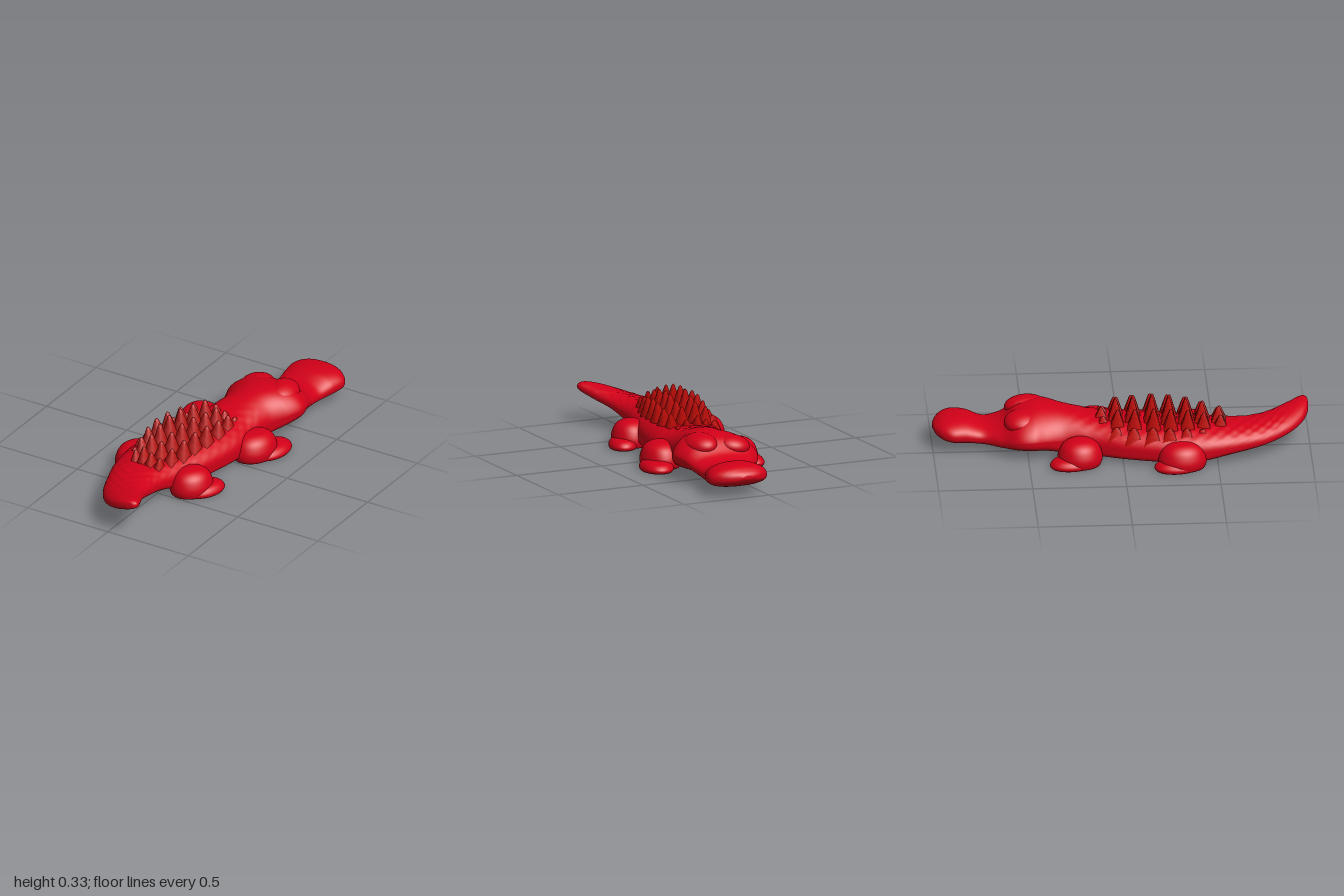
import * as THREE from 'three';

const skin = new THREE.MeshStandardMaterial({ color: 0xd20018 });
const spikeSkin = new THREE.MeshStandardMaterial({ color: 0xbe0a06 });

// Body sections from snout to tail: z, xMin, xMax, yBottom, yTop, sideways tilt
const sections = [
  [-0.998, 0.09, 0.15, 0.1, 0.12, 0],
  [-0.98, 0.035, 0.215, 0.078, 0.14, 0],
  [-0.945, -0.01, 0.27, 0.058, 0.16, 0],
  [-0.895, -0.034, 0.302, 0.045, 0.168, 0],
  [-0.82, -0.028, 0.288, 0.04, 0.165, 0],
  [-0.73, -0.03, 0.257, 0.036, 0.138, 0],
  [-0.64, -0.09, 0.262, 0.04, 0.158, 0.03],
  [-0.56, -0.15, 0.285, 0.042, 0.222, 0.05],
  [-0.48, -0.165, 0.305, 0.038, 0.246, 0.05],
  [-0.4, -0.14, 0.28, 0.028, 0.246, 0.05],
  [-0.3, -0.12, 0.215, 0.012, 0.232, 0.03],
  [-0.16, -0.15, 0.2, 0.006, 0.205, 0],
  [0, -0.21, 0.205, 0.006, 0.195, 0],
  [0.2, -0.26, 0.17, 0.006, 0.193, 0],
  [0.4, -0.275, 0.115, 0.012, 0.188, 0],
  [0.55, -0.25, 0.075, 0.036, 0.182, 0.03],
  [0.67, -0.21, 0.068, 0.055, 0.176, 0.07],
  [0.78, -0.165, 0.085, 0.082, 0.18, 0.14],
  [0.89, -0.095, 0.135, 0.115, 0.2, 0.2],
  [0.96, -0.02, 0.167, 0.145, 0.215, 0.24],
  [0.99, 0.045, 0.155, 0.165, 0.212, 0.22],
  [0.997, 0.095, 0.115, 0.185, 0.198, 0],
];

function bodyGeometry() {
  const rings = 240, sides = 64;
  const plan = new THREE.CatmullRomCurve3(
    sections.map(s => new THREE.Vector3((s[1] + s[2]) / 2, (s[2] - s[1]) / 2, s[0])), false, 'catmullrom');
  const side = new THREE.CatmullRomCurve3(
    sections.map(s => new THREE.Vector3(s[3], s[4], s[5])), false, 'catmullrom');
  const pos = [], idx = [];
  const soft = (v, p) => Math.sign(v) * Math.pow(Math.abs(v), p);
  const smooth = THREE.MathUtils.smoothstep;
  for (let i = 0; i <= rings; i++) {
    const p = plan.getPoint(i / rings), q = side.getPoint(i / rings);
    const mid = q.x + (q.y - q.x) * 0.42;
    // Faint rows of scales on the back and tail, a flat belly and a domed head
    const scaly = smooth(p.z, -0.35, -0.1) * (1 - smooth(p.z, 0.8, 0.92));
    const belly = smooth(p.z, -0.45, -0.25) * (1 - smooth(p.z, 0.4, 0.65));
    const head = smooth(p.z, -0.68, -0.56) * (1 - smooth(p.z, -0.4, -0.2));
    for (let j = 0; j < sides; j++) {
      const a = j / sides * Math.PI * 2, c = Math.cos(a), s = Math.sin(a);
      const bump = s > 0 ? 0.003 * scaly * s * Math.cos(a * 12) * Math.cos(p.z * 85) : 0;
      const dx = Math.max(p.y, 0.002) * soft(c, 0.88);
      const dy = s > 0 ? (q.y - mid) * soft(s, 0.92 + 0.4 * head) : (mid - q.x) * soft(s, 0.7 - 0.32 * belly);
      pos.push(p.x + dx, mid + dy + dx * q.z + bump, p.z);
      if (i < rings) {
        const k = i * sides, n = (j + 1) % sides;
        idx.push(k + j, k + n, k + sides + j, k + n, k + sides + n, k + sides + j);
      }
    }
  }
  // End caps
  for (let j = 1; j < sides - 1; j++) {
    const k = rings * sides;
    idx.push(0, j + 1, j, k, k + j, k + j + 1);
  }
  const g = new THREE.BufferGeometry();
  g.setAttribute('position', new THREE.Float32BufferAttribute(pos, 3));
  g.setIndex(idx);
  g.computeVertexNormals();
  return g;
}

function blob(name, geometry, [x, y, z], [rx, ry, rz], turn = 0, roll = 0) {
  const m = new THREE.Mesh(geometry, skin);
  m.name = name;
  m.position.set(x, y, z);
  m.scale.set(rx, ry, rz);
  m.rotation.set(0, turn, roll);
  return m;
}

const lathe = (points, segments) =>
  new THREE.LatheGeometry(points.map(p => new THREE.Vector2(...p)), segments);

// Rounded dome with a flat underside
const rounded = new THREE.SplineCurve([[0.93, 0], [1, 0.2], [0.97, 0.45], [0.8, 0.76], [0.46, 0.95], [0, 1]]
  .map(p => new THREE.Vector2(...p))).getPoints(20);
const dome = lathe([[0, 0], [0.6, 0], ...rounded.map(p => [Math.max(p.x, 0), p.y])], 36);

// Round thigh over a flat foot that points forward and outward: [x, z, xRadius, zRadius]
function leg(name, thigh, foot, turn) {
  const g = new THREE.Group();
  g.name = name;
  g.add(
    blob('thigh', dome, [thigh[0], 0.006, thigh[1]], [thigh[2], 0.138, thigh[3]], turn),
    blob('foot', dome, [foot[0], 0.003, foot[1]], [foot[2], 0.058, foot[3]], turn));
  return g;
}

// Four-sided pointed scales, merging at the base, in rows along the spine
function backSpikes() {
  const g = new THREE.Group();
  g.name = 'backSpikes';
  const geo = lathe([[1.5, 0], [1.22, 0.25], [0.84, 0.52], [0.46, 0.8], [0.22, 0.95], [0, 1]], 4);
  geo.rotateY(Math.PI / 4);
  // Each row: z, centre x, column spacing, tip height
  const rows = [
    [0.51, -0.055, 0.048, 0.27], [0.42, -0.055, 0.062, 0.3], [0.335, -0.05, 0.073, 0.322],
    [0.245, -0.045, 0.078, 0.334], [0.155, -0.03, 0.08, 0.334], [0.055, -0.015, 0.078, 0.32],
    [-0.035, 0, 0.07, 0.308], [-0.11, 0.015, 0.058, 0.25],
  ];
  // Each column: sideways offset in spacings, share of the tip height
  const columns = [[-2.05, 0.63], [-1.3, 0.89], [-0.45, 1], [0.5, 0.93], [1.4, 0.83]];
  for (const [z, cx, step, top] of rows) {
    columns.forEach(([off, h], col) => {
      const base = 0.155 - 0.018 * Math.abs(off);
      const m = new THREE.Mesh(geo, spikeSkin);
      m.name = 'spike';
      m.position.set(cx + off * step, base, z + (col % 2) * 0.008);
      m.scale.set(step * 0.5, top * h - base, 0.046);
      m.rotation.z = -off * 0.06;
      g.add(m);
    });
  }
  return g;
}

export function createModel() {
  const model = new THREE.Group();
  model.name = 'crocodile';

  const body = new THREE.Mesh(bodyGeometry(), skin);
  body.name = 'body';
  model.add(body, backSpikes());

  // Eye mounds
  const ball = new THREE.SphereGeometry(1, 32, 20);
  model.add(
    blob('leftEye', ball, [0.165, 0.192, -0.5], [0.085, 0.06, 0.115], 0.15, -0.15),
    blob('rightEye', ball, [-0.01, 0.178, -0.53], [0.095, 0.056, 0.095], -0.4, 0.15));

  model.add(
    leg('frontLeftLeg', [0.215, -0.13, 0.11, 0.135], [0.274, -0.2, 0.089, 0.132], -0.2),
    leg('frontRightLeg', [-0.18, -0.23, 0.115, 0.12], [-0.215, -0.267, 0.084, 0.128], 0.25),
    leg('backLeftLeg', [0.14, 0.385, 0.105, 0.122], [0.202, 0.35, 0.078, 0.118], -0.4),
    leg('backRightLeg', [-0.25, 0.31, 0.11, 0.13], [-0.284, 0.28, 0.082, 0.122], 0.15));

  return model;
}
